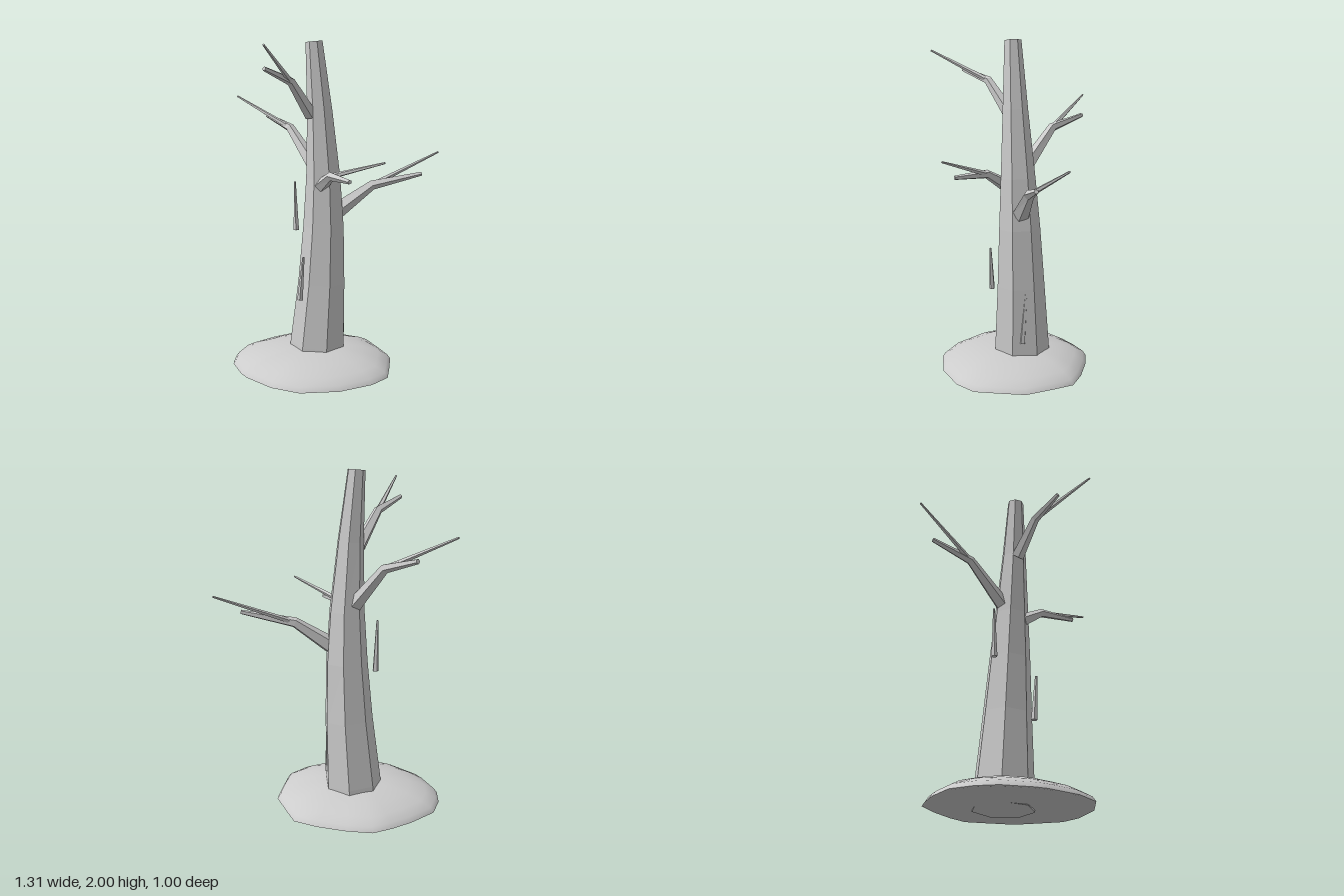
import * as THREE from 'three';

const UP = new THREE.Vector3(0, 1, 0);

// Skin a stack of rings (arrays of Vector3, running from +x towards +z), with optional end caps.
function skin(rings, capStart, capEnd, flat) {
  const n = rings[0].length;
  const verts = rings.flat();
  const index = [];
  for (let k = 0; k < rings.length - 1; k++) {
    for (let i = 0; i < n; i++) {
      const a = k * n + i, b = k * n + (i + 1) % n;
      index.push(b, a, a + n, b, a + n, b + n);
    }
  }
  const cap = (k, top) => {
    const centre = new THREE.Vector3();
    rings[k].forEach((p) => centre.addScaledVector(p, 1 / n));
    const c = verts.push(centre) - 1;
    for (let i = 0; i < n; i++) {
      const a = k * n + i, b = k * n + (i + 1) % n;
      if (top) index.push(c, b, a);
      else index.push(c, a, b);
    }
  };
  if (capStart) cap(0, false);
  if (capEnd) cap(rings.length - 1, true);
  let geo = new THREE.BufferGeometry().setFromPoints(verts);
  geo.setIndex(index);
  if (flat) geo = geo.toNonIndexed();
  geo.computeVertexNormals();
  return geo;
}

// Faceted tapering limb through stations [x, y, z, radius].
function limb(stations, sides = 5, phase = 0) {
  const pts = stations.map((s) => new THREE.Vector3(s[0], s[1], s[2]));
  const rings = pts.map((p, k) => {
    const dir = pts[Math.min(k + 1, pts.length - 1)].clone()
      .sub(pts[Math.max(k - 1, 0)]).normalize();
    const q = new THREE.Quaternion().setFromUnitVectors(UP, dir);
    return Array.from({ length: sides }, (_, i) => {
      const a = phase + (i / sides) * Math.PI * 2;
      return new THREE.Vector3(Math.cos(a), 0, Math.sin(a))
        .multiplyScalar(stations[k][3]).applyQuaternion(q).add(p);
    });
  });
  return skin(rings, true, true, true);
}

export function createModel() {
  const model = new THREE.Group();
  model.name = 'bareTree';
  const grey = new THREE.MeshStandardMaterial({ color: 0xcccccc });
  grey.name = 'grey';
  const add = (name, geo, parent = model) => {
    const mesh = new THREE.Mesh(geo, grey);
    mesh.name = name;
    parent.add(mesh);
  };

  // Seven-sided trunk, bowed towards +x in the middle
  add('trunk', limb([
    [-0.066, 0.012, -0.10, 0.176],
    [-0.058, 0.15, -0.10, 0.172],
    [-0.030, 0.55, -0.097, 0.147],
    [-0.016, 0.9, -0.09, 0.127],
    [-0.016, 1.2, -0.08, 0.106],
    [-0.034, 1.6, -0.06, 0.077],
    [-0.064, 1.997, -0.04, 0.051],
  ], 7, Math.PI / 3));

  // Ground mound: irregular outline (x, z) shrunk towards its centre as it rises
  const outline = [
    [-0.25, -0.49], [-0.1, -0.5], [0.08, -0.485], [0.22, -0.45], [0.3, -0.34],
    [0.395, -0.2], [0.405, -0.05], [0.41, 0.1], [0.33, 0.22], [0.16, 0.345],
    [-0.06, 0.41], [-0.24, 0.37], [-0.42, 0.26], [-0.47, 0.21], [-0.565, 0.07],
    [-0.585, -0.05], [-0.565, -0.19], [-0.45, -0.33], [-0.35, -0.42],
  ];
  const cx = -0.08, cz = -0.06;
  const moundRing = (scale, y) => outline.map(([x, z]) =>
    new THREE.Vector3(cx + (x - cx) * scale, y, cz + (z - cz) * scale));
  add('groundMound', skin([
    moundRing(1, 0.024), moundRing(0.96, 0.052), moundRing(0.84, 0.082),
    moundRing(0.65, 0.112), moundRing(0.4, 0.132), moundRing(0.15, 0.138),
  ], false, true, false));
  add('moundUnderside', skin([moundRing(0.98, 0.02), moundRing(1, 0.024)], true, false, true));

  // Branches: a bent limb from root through fork to a blunt tip, plus a thin twig
  const branches = [
    { name: 'leftBranch', root: [0.07, 1.0, -0.115, 0.052], fork: [0.265, 1.145, -0.19, 0.031],
      tip: [0.56, 1.212, -0.27, 0.013], twig: [0.652, 1.33, -0.445, 0.006] },
    { name: 'frontBranch', root: [-0.02, 1.155, -0.01, 0.042], fork: [0.06, 1.228, 0.09, 0.027],
      tip: [0.195, 1.22, 0.25, 0.013], twig: [0.39, 1.332, 0.27, 0.006] },
    { name: 'backRightBranch', root: [-0.075, 1.25, -0.115, 0.046], fork: [-0.265, 1.485, -0.255, 0.028],
      tip: [-0.455, 1.552, -0.42, 0.014], twig: [-0.655, 1.675, -0.41, 0.006] },
    { name: 'topBranch', root: [-0.08, 1.575, -0.02, 0.04], fork: [-0.165, 1.768, 0.125, 0.026],
      tip: [-0.27, 1.835, 0.305, 0.013], twig: [-0.217, 1.95, 0.495, 0.006] },
  ];
  for (const { name, root, fork, tip, twig } of branches) {
    const group = new THREE.Group();
    group.name = name;
    model.add(group);
    add('limb', limb([root, fork, tip]), group);
    add('twig', limb([[fork[0], fork[1], fork[2], 0.017], twig]), group);
  }

  // Loose bark slivers beside the trunk
  const slivers = [
    [[-0.195, 0.86, -0.115, 0.018], [-0.204, 1.163, -0.12, 0.006]],
    [[-0.125, 0.477, 0.098, 0.018], [-0.102, 0.743, 0.104, 0.007]],
    [[0.09, 0.21, -0.13, 0.019], [0.085, 0.58, -0.153, 0.006]],
  ];
  slivers.forEach((s, i) => add('barkSliver' + (i + 1), limb(s, 5, 0.3)));

  return model;
}
